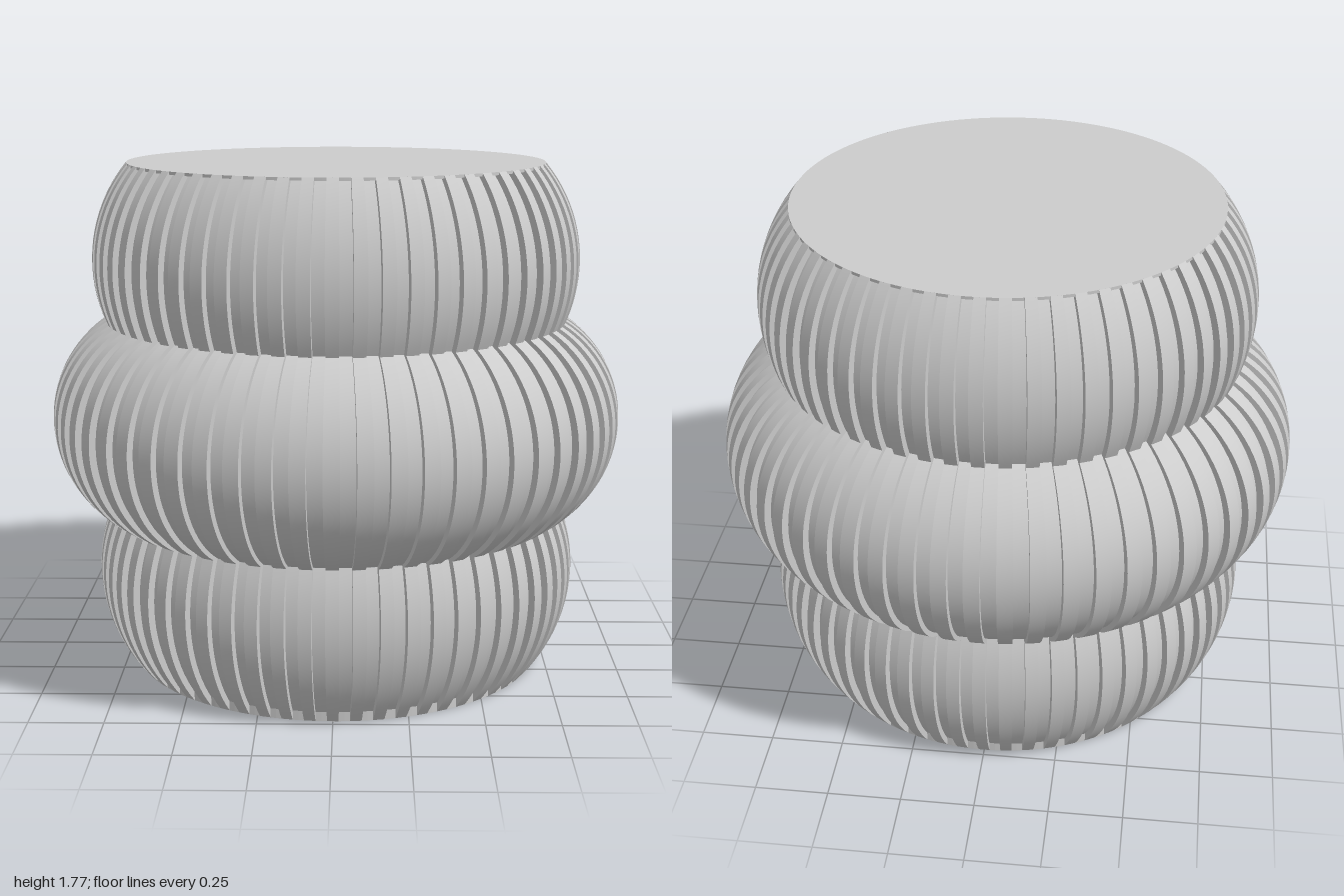
import * as THREE from 'three';

const RIBS = 60, GROOVE = 0.025, HEIGHT = 1.775, RIM = 0.725, RECESS = 0.04;

// Profile of one bulge: a circular arc of radius R about height cy, reaching out to rMax
function arcProfile(y0, y1, cy, rMax, R, steps) {
  const a0 = Math.asin((y0 - cy) / R), a1 = Math.asin((y1 - cy) / R);
  return Array.from({ length: steps + 1 }, (_, i) => {
    const a = a0 + (a1 - a0) * i / steps;
    return [rMax - R + R * Math.cos(a), cy + R * Math.sin(a)];
  });
}

// Sweeps the profile round the axis with square ribs; each rib face is its own strip
function ribbedGeometry(profile) {
  const positions = [], index = [];
  const step = Math.PI * 2 / RIBS, half = step / 4;
  const strip = (angA, cutA, angB, cutB) => {
    const base = positions.length / 3;
    for (const [r, y] of profile) {
      for (const [ang, cut] of [[angA, cutA], [angB, cutB]]) {
        positions.push((r - cut) * Math.cos(ang), y, (r - cut) * Math.sin(ang));
      }
    }
    for (let j = 0; j < profile.length - 1; j++) {
      const a = base + j * 2, b = a + 1, c = a + 2, d = a + 3;
      index.push(a, c, b, b, c, d);
    }
  };
  for (let i = 0; i < RIBS; i++) {
    const s = i * step - half, e = i * step + half, n = (i + 1) * step - half;
    strip(s, 0, e, 0);            // rib face
    strip(e, 0, e, GROOVE);       // rib flank
    strip(e, GROOVE, n, GROOVE);  // groove floor
    strip(n, GROOVE, n, 0);       // next flank
  }
  const geo = new THREE.BufferGeometry();
  geo.setAttribute('position', new THREE.Float32BufferAttribute(positions, 3));
  geo.setIndex(index);
  geo.computeVertexNormals();
  return geo;
}

// Base ring: round plate with an opening narrowed by four locking tabs
function baseRingGeometry() {
  const shape = new THREE.Shape().absarc(0, 0, RIM, 0, Math.PI * 2, false);
  const points = [];
  const rad = THREE.MathUtils.degToRad;
  const addArc = (r, from, to, n) => {
    for (let i = 0; i <= n; i++) {
      const a = rad(from + (to - from) * i / n);
      points.push(new THREE.Vector2(r * Math.cos(a), r * Math.sin(a)));
    }
  };
  for (let k = 0; k < 4; k++) {
    addArc(0.525, k * 90 + 3.5, k * 90 + 36, 10);
    addArc(0.57, k * 90 + 36, k * 90 + 93.5, 18);
  }
  shape.holes.push(new THREE.Path(points));
  const geo = new THREE.ExtrudeGeometry(shape, { depth: RECESS, bevelEnabled: false, curveSegments: 60 });
  return geo.rotateX(Math.PI / 2).translate(0, RECESS, 0);
}

export function createModel() {
  const model = new THREE.Group();
  const grey = new THREE.MeshStandardMaterial({ color: 0xcccccc });
  grey.name = 'light grey';
  const add = (name, geometry) => {
    const mesh = new THREE.Mesh(geometry, grey);
    mesh.name = name;
    model.add(mesh);
    return mesh;
  };

  // Three stacked ribbed bulges, the upper mirroring the lower
  const lower = arcProfile(0, 0.545, 0.34, 0.85, 0.525, 18);
  const upper = lower.map(([r, y]) => [r, HEIGHT - y]).reverse();
  add('lowerBulge', ribbedGeometry(lower));
  add('middleBulge', ribbedGeometry(arcProfile(0.545, HEIGHT - 0.545, HEIGHT / 2, 1, 0.4, 28)));
  add('upperBulge', ribbedGeometry(upper));

  // Flat top
  add('topPlate', new THREE.CylinderGeometry(RIM, RIM, 0.01, 120)).position.y = HEIGHT - 0.005;

  // Base with a shallow locking recess
  add('baseRing', baseRingGeometry());
  const floor = add('recessFloor', new THREE.CircleGeometry(0.6, 60));
  floor.rotation.x = Math.PI / 2;
  floor.position.y = RECESS - 0.001;

  return model;
}
